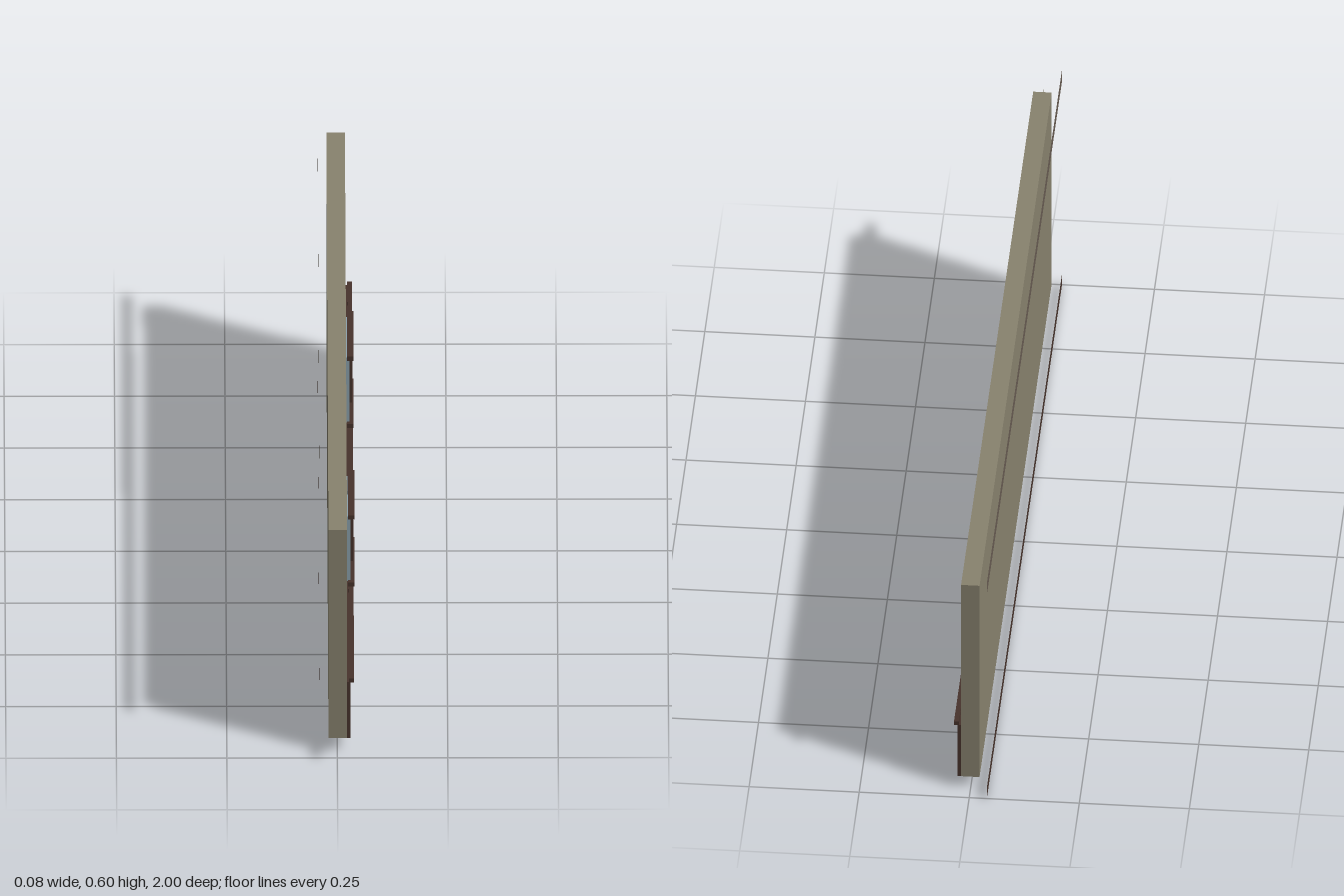
import * as THREE from 'three';

const paint = (name, color, side = THREE.FrontSide) => {
  const m = new THREE.MeshStandardMaterial({ color, side });
  m.name = name;
  return m;
};

export function createModel() {
  const model = new THREE.Group();
  model.name = 'wallPanel';

  const plaster = paint('plaster', 0x89836f);
  const plasterSheet = paint('plasterSheet', 0x89836f, THREE.DoubleSide);
  const brown = paint('darkBrown', 0x47332c);
  const brownSheet = paint('darkBrownSheet', 0x47332c, THREE.DoubleSide);
  const fasciaGrey = paint('fasciaGreyBrown', 0x675c52, THREE.DoubleSide);
  const glass = paint('glass', 0x8ca3ae);

  // Box given by its limits on each axis
  const box = (parent, name, material, [x0, x1], [y0, y1], [z0, z1]) => {
    const mesh = new THREE.Mesh(new THREE.BoxGeometry(x1 - x0, y1 - y0, z1 - z0), material);
    mesh.position.set((x0 + x1) / 2, (y0 + y1) / 2, (z0 + z1) / 2);
    mesh.name = name;
    parent.add(mesh);
  };

  // Flat upright sheet facing sideways
  const sheet = (name, material, x, [y0, y1], [z0, z1]) => {
    const mesh = new THREE.Mesh(new THREE.PlaneGeometry(z1 - z0, y1 - y0), material);
    mesh.rotation.y = Math.PI / 2;
    mesh.position.set(x, (y0 + y1) / 2, (z0 + z1) / 2);
    mesh.name = name;
    model.add(mesh);
  };

  // Wall with its narrow end flange
  box(model, 'wall', plaster, [-0.02, 0.022], [0.03, 0.563], [-0.96, 0.96]);
  sheet('endFlange', plasterSheet, 0, [0.03, 0.563], [0.96, 0.98]);

  // Lower cladding and the rail above it
  box(model, 'wainscot', brown, [0.022, 0.03], [0.03, 0.173], [-0.96, 0.96]);
  box(model, 'wainscotRail', brown, [0.027, 0.038], [0.172, 0.182], [-0.96, 0.96]);

  // Detached trim strips behind the wall
  sheet('topFascia', fasciaGrey, -0.04, [0.567, 0.6], [-1, 1]);
  sheet('baseStrip', brownSheet, -0.04, [0, 0.03], [-1, 1]);

  // Two windows: projecting glass, centre post, head and sill
  for (const z of [0.425, -0.342]) {
    const win = new THREE.Group();
    win.name = 'window';
    win.position.z = z;
    box(win, 'windowGlass', glass, [0.022, 0.031], [0.2, 0.366], [-0.098, 0.098]);
    box(win, 'windowPost', brown, [0.03, 0.037], [0.2, 0.366], [-0.006, 0.006]);
    box(win, 'windowSill', brown, [0.025, 0.04], [0.193, 0.203], [-0.11, 0.11]);
    box(win, 'windowHead', brown, [0.025, 0.04], [0.364, 0.375], [-0.11, 0.11]);
    model.add(win);
  }

  return model;
}
